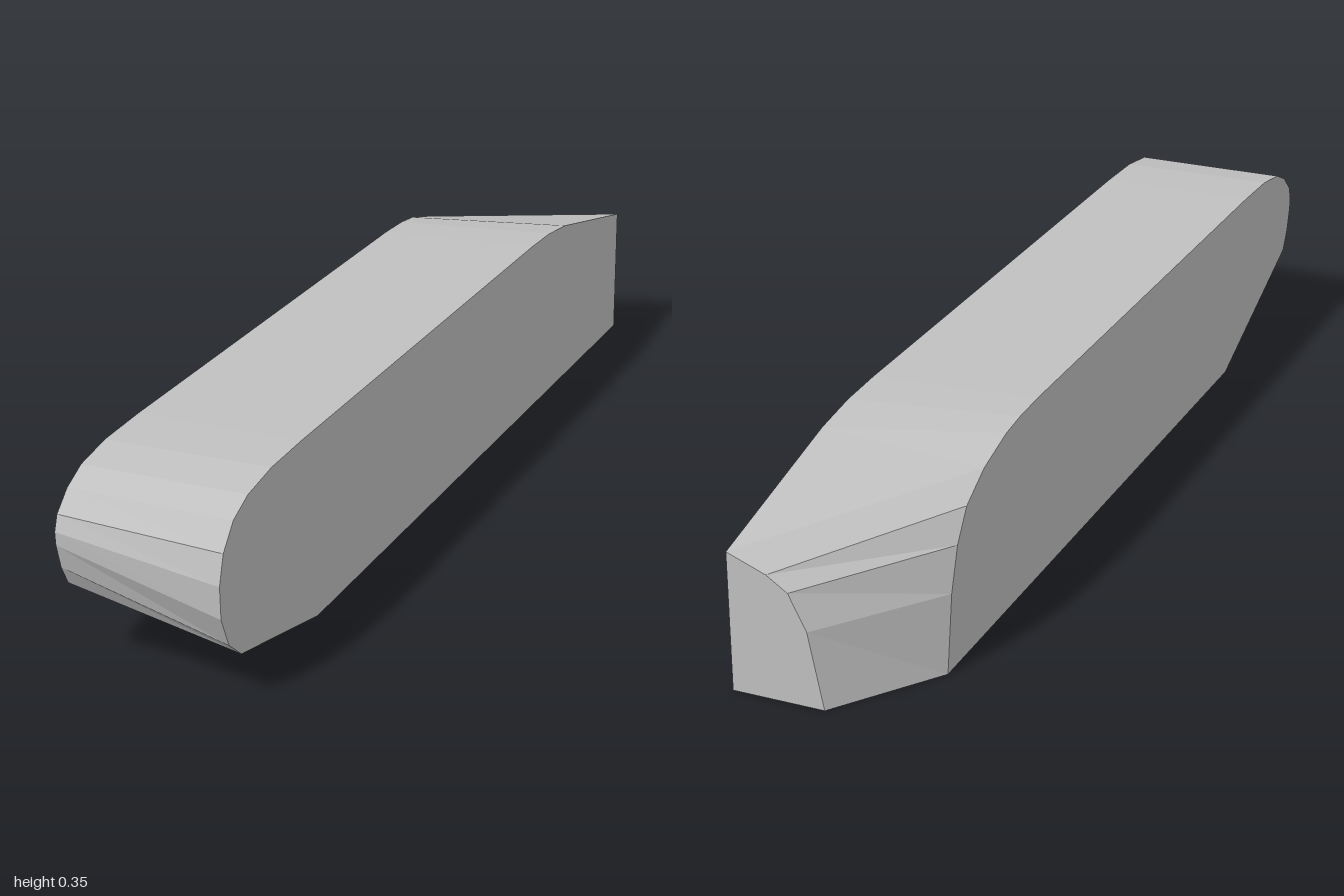
import * as THREE from 'three';

const W = 0.155;

// Matching points of the two long edges, from the front of the underside,
// over the nose and the top, to the rear underside.
// Inner side: [z, y] at x = -W. Outer side: [z, y, x], x = W when omitted.
const inner = [
  [0.58, 0], [0.945, 0.147], [0.966, 0.184], [0.98, 0.23], [0.982, 0.255], [0.972, 0.283],
  [0.935, 0.316], [0.885, 0.339], [0.8, 0.352], [0.68, 0.355],
  [-0.42, 0.355], [-0.5, 0.352], [-0.56, 0.345], [-0.653, 0.32],
  [-0.725, 0.281], [-0.764, 0.225], [-0.79, 0.145], [-0.81, 0],
];
const outer = [
  [0.62, 0], [0.925, 0.066], [0.97, 0.102], [0.997, 0.16], [1, 0.22], [0.984, 0.272],
  [0.945, 0.315], [0.89, 0.338], [0.8, 0.351], [0.68, 0.354],
  [-0.45, 0.354], [-0.55, 0.351], [-0.65, 0.339], [-1, 0.262],
  [-1, 0.234, 0.082], [-1, 0.208, 0.043], [-1, 0.142, 0.01], [-1, 0, -0.018],
];

// Flat-shaded mesh from convex polygons
function polygonMesh(name, polygons, material) {
  const pos = [];
  for (const p of polygons)
    for (let i = 1; i < p.length - 1; i++) pos.push(...p[0], ...p[i], ...p[i + 1]);
  const geometry = new THREE.BufferGeometry();
  geometry.setAttribute('position', new THREE.Float32BufferAttribute(pos, 3));
  geometry.computeVertexNormals();
  const mesh = new THREE.Mesh(geometry, material);
  mesh.name = name;
  return mesh;
}

export function createModel() {
  const group = new THREE.Group();
  group.name = 'sidePod';
  const grey = new THREE.MeshStandardMaterial({ color: 0xc0c0c0, flatShading: true });
  grey.name = 'light grey';

  const a = inner.map(([z, y]) => [-W, y, z]);
  const b = outer.map(([z, y, x = W]) => [x, y, z]);
  const n = a.length;
  const corner = [W, 0, -1];

  // Skin running over the nose, the top and the slanted tail
  const skin = [];
  for (let i = 0; i < n - 1; i++) {
    skin.push([a[i], b[i], a[i + 1]], [b[i], b[i + 1], a[i + 1]]);
  }
  group.add(polygonMesh('wrappedSkin', skin, grey));

  // Flat faces closing the body
  const outerEdge = b.filter((p) => p[0] === W);
  const tailEdge = b.slice(outerEdge.length - 1);
  group.add(polygonMesh('innerSide', [a], grey));
  group.add(polygonMesh('outerSide', [[...outerEdge, corner].reverse()], grey));
  group.add(polygonMesh('tailFace', [[...tailEdge, corner].reverse()], grey));
  group.add(polygonMesh('underside', [[a[n - 1], b[n - 1], corner, b[0], a[0]]], grey));
  return group;
}
